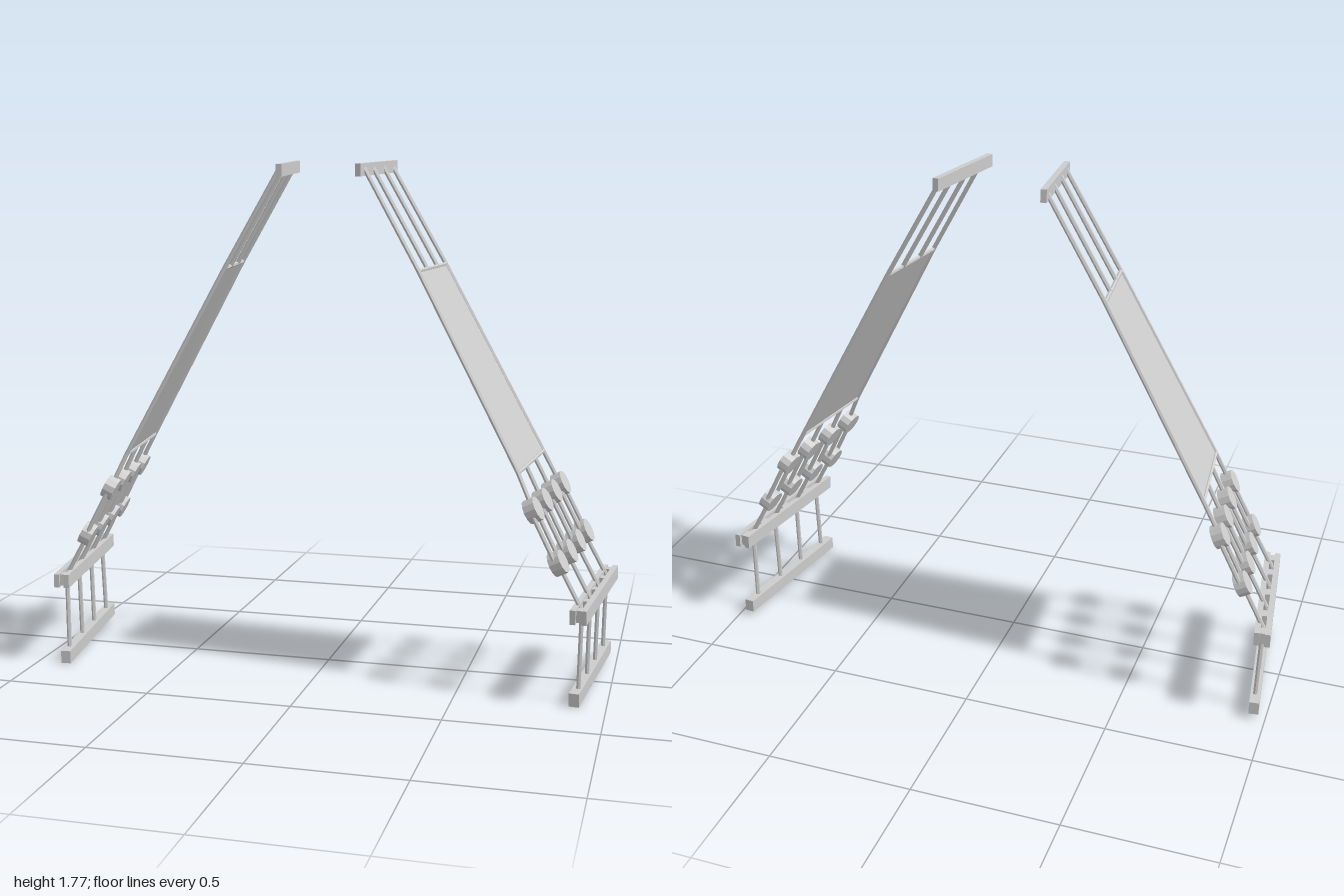
import * as THREE from 'three';

const V = (x, y, z) => new THREE.Vector3(x, y, z);

export function createModel() {
  const model = new THREE.Group();
  model.name = 'shrouds';
  const grey = new THREE.MeshStandardMaterial({ color: 0xcccccc, side: THREE.DoubleSide, flatShading: true });
  grey.name = 'light grey';

  function side(s, label) {
    const group = new THREE.Group();
    group.name = label;
    model.add(group);
    const P = (x, y, z) => V(s * x, y, z);

    function add(name, geometry) {
      const mesh = new THREE.Mesh(geometry, grey);
      mesh.name = name;
      group.add(mesh);
      return mesh;
    }
    // round rod between two points
    function rod(name, a, b, r, sides = 6) {
      const mesh = add(name, new THREE.CylinderGeometry(r, r, a.distanceTo(b), sides));
      mesh.position.lerpVectors(a, b, 0.5);
      mesh.quaternion.setFromUnitVectors(V(0, 1, 0), b.clone().sub(a).normalize());
    }
    // rectangular beam between two points, standing upright
    function beam(name, a, b, width, height) {
      const mesh = add(name, new THREE.BoxGeometry(width, height, a.distanceTo(b)));
      mesh.position.lerpVectors(a, b, 0.5);
      mesh.lookAt(b);
    }

    // stations of the four stays, each interpolated from front to back
    const row = (f, b, zs) => zs.map((z) => {
      const t = (zs[0] - z) / (zs[0] - zs[3]);
      return P(f[0] + (b[0] - f[0]) * t, f[1] + (b[1] - f[1]) * t, z);
    });
    const foot = row([0.905, 0.03], [0.952, 0.04], [0.22, 0.073, -0.07, -0.222]);
    const knee = row([0.91, 0.31], [0.958, 0.325], [0.215, 0.077, -0.068, -0.208]);
    const lower = row([0.828, 0.463], [0.876, 0.478], [0.208, 0.071, -0.068, -0.204]);
    const upper = row([0.742, 0.632], [0.79, 0.645], [0.197, 0.065, -0.072, -0.203]);
    const panelLow = row([0.688, 0.75], [0.728, 0.762], [0.178, 0.06, -0.072, -0.2]);
    const panelHigh = row([0.338, 1.403], [0.374, 1.412], [0.122, 0.022, -0.093, -0.196]);
    const head = row([0.146, 1.742], [0.178, 1.752], [0.1, 0.01, -0.1, -0.2]);

    // bottom and top rails
    beam('bottomRail', P(0.896, 0.024, 0.275), P(0.96, 0.043, -0.28), 0.034, 0.045);
    beam('topRail', P(0.136, 1.733, 0.145), P(0.179, 1.751, -0.235), 0.02, 0.042);

    // channel: two rails with spacer blocks between them
    for (const d of [-0.018, 0.018]) {
      beam('channelRail', P(0.903 + d, 0.303, 0.28), P(0.967 + d, 0.321, -0.278), 0.019, 0.048);
    }
    for (const z of [0.25, 0.145, 0.005, -0.138, -0.25]) {
      const t = (0.28 - z) / 0.558;
      const x = 0.903 + 0.064 * t, y = 0.303 + 0.018 * t;
      beam('channelSpacer', P(x - 0.003, y, z + 0.018), P(x + 0.003, y, z - 0.018), 0.02, 0.04);
    }

    for (let i = 0; i < 4; i++) {
      rod('chain', foot[i], knee[i], 0.008);
      rod('chainStrap', knee[i], lower[i], 0.008);

      // pair of round blocks joined by lanyards
      const along = upper[i].clone().sub(lower[i]).normalize();
      const across = upper[3].clone().sub(upper[0]);
      across.addScaledVector(along, -across.dot(along)).normalize();
      const normal = along.clone().cross(across).normalize();
      for (const p of [lower[i], upper[i]]) {
        const block = add('deadeye', new THREE.CylinderGeometry(0.041, 0.041, 0.04, 12));
        block.position.copy(p);
        block.quaternion.setFromUnitVectors(V(0, 1, 0), normal);
      }
      for (const d of [-0.029, 0.029]) {
        rod('lanyard', lower[i].clone().addScaledVector(across, d), upper[i].clone().addScaledVector(across, d), 0.008);
      }

      // stays: outer pair runs along the panel, inner pair stops at it
      rod('lowerStay', upper[i], panelLow[i], 0.008);
      if (i === 0 || i === 3) rod('panelStay', panelLow[i], panelHigh[i], 0.008);
      rod('upperStay', panelHigh[i], head[i], 0.008);
    }

    // panel with its edge battens
    rod('panelBottomBatten', panelLow[0], panelLow[3], 0.007);
    rod('panelTopBatten', panelHigh[0], panelHigh[3], 0.007);
    const corners = [panelLow[0], panelLow[3], panelHigh[3], panelHigh[0]];
    const geo = new THREE.BufferGeometry().setFromPoints(corners);
    geo.setIndex(s > 0 ? [0, 1, 2, 0, 2, 3] : [0, 2, 1, 0, 3, 2]);
    geo.computeVertexNormals();
    add('panel', geo);
  }

  side(1, 'leftShroud');
  side(-1, 'rightShroud');
  return model;
}
